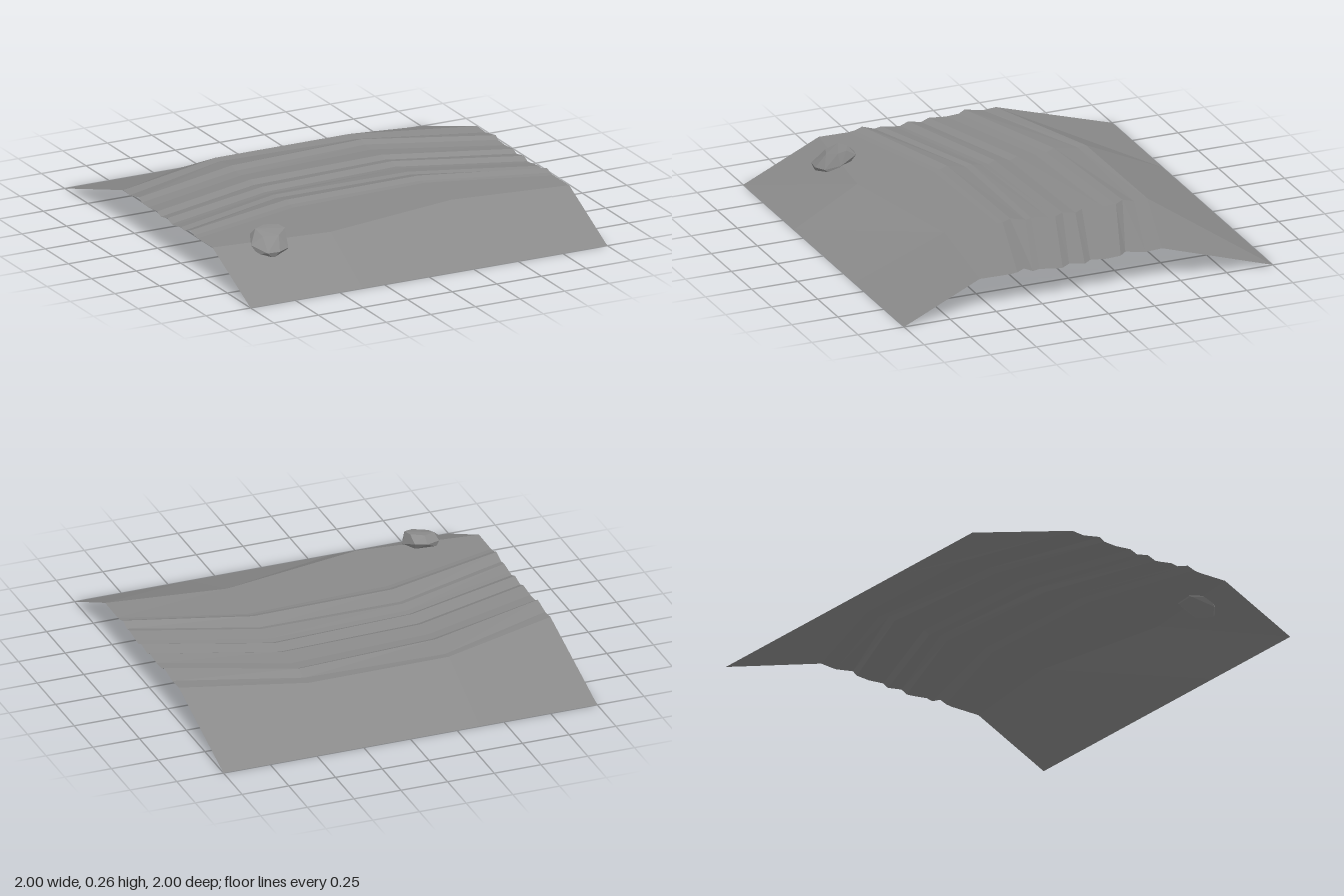
import * as THREE from 'three';
import { ConvexGeometry } from 'three/addons/geometries/ConvexGeometry.js';

const groundGray = new THREE.MeshStandardMaterial({ color: 0x8a8a8a, flatShading: true, side: THREE.DoubleSide });
groundGray.name = 'ground gray';
const rockGray = new THREE.MeshStandardMaterial({ color: 0x8c8c8c, flatShading: true });
rockGray.name = 'rock gray';

// Rutted track: each row is a height and its z at the four columns
const columns = [-1, -0.37, 0.38, 1];
const rows = [
  [0, -1, -1, -1, -1],
  [0.19, -0.37, -0.585, -0.59, -0.4],
  [0.185, -0.3, -0.54, -0.52, -0.31],
  [0.205, -0.2, -0.41, -0.455, -0.2],
  [0.188, -0.17, -0.37, -0.42, -0.175],
  [0.184, -0.1, -0.31, -0.35, -0.1],
  [0.193, -0.005, -0.21, -0.235, -0.01],
  [0.177, 0.035, -0.17, -0.2, 0.02],
  [0.192, 0.105, -0.09, -0.13, 0.105],
  [0.175, 0.15, -0.055, -0.09, 0.14],
  [0.178, 0.18, -0.02, -0.05, 0.18],
  [0.19, 0.25, 0.035, 0.04, 0.265],
  [0.184, 0.29, 0.07, 0.07, 0.3],
  [0.206, 0.355, 0.17, 0.155, 0.35],
  [0.192, 0.395, 0.21, 0.195, 0.385],
  [0.188, 0.43, 0.245, 0.22, 0.42],
  [0.19, 0.59, 0.655, 0.51, 0.59],
  [0, 1, 1, 1, 1],
];

function createTrack() {
  const positions = new Float32Array(rows.length * columns.length * 3);
  const index = [];
  const n = columns.length;
  rows.forEach(([y, ...zs], r) => zs.forEach((z, c) => {
    const i = r * n + c;
    positions.set([columns[c], y, z], i * 3);
    if (r < rows.length - 1 && c < n - 1) {
      index.push(i, i + n, i + 1, i + 1, i + n, i + n + 1);
    }
  }));
  const geometry = new THREE.BufferGeometry();
  geometry.setAttribute('position', new THREE.BufferAttribute(positions, 3));
  geometry.setIndex(index);
  geometry.computeVertexNormals();
  const track = new THREE.Mesh(geometry, groundGray);
  track.name = 'ruttedTrack';
  return track;
}

// Faceted boulder as the hull of a few uneven rings
function createRock() {
  const points = [
    // top facet
    [-0.76, 0.25, 0.59], [-0.7, 0.255, 0.565], [-0.635, 0.257, 0.6], [-0.625, 0.252, 0.65], [-0.68, 0.235, 0.69], [-0.755, 0.23, 0.66],
    // widest ring
    [-0.775, 0.215, 0.56], [-0.7, 0.22, 0.53], [-0.64, 0.225, 0.545], [-0.61, 0.19, 0.64],
    [-0.64, 0.17, 0.715], [-0.7, 0.165, 0.74], [-0.765, 0.165, 0.735], [-0.815, 0.19, 0.65],
    // foot on the bank
    [-0.76, 0.185, 0.56], [-0.65, 0.185, 0.57], [-0.635, 0.15, 0.69], [-0.73, 0.13, 0.725], [-0.795, 0.15, 0.68],
  ].map((p) => new THREE.Vector3(...p));
  const rock = new THREE.Mesh(new ConvexGeometry(points), rockGray);
  rock.name = 'rock';
  return rock;
}

export function createModel() {
  const group = new THREE.Group();
  group.name = 'trackWithRock';
  group.add(createTrack(), createRock());
  return group;
}
